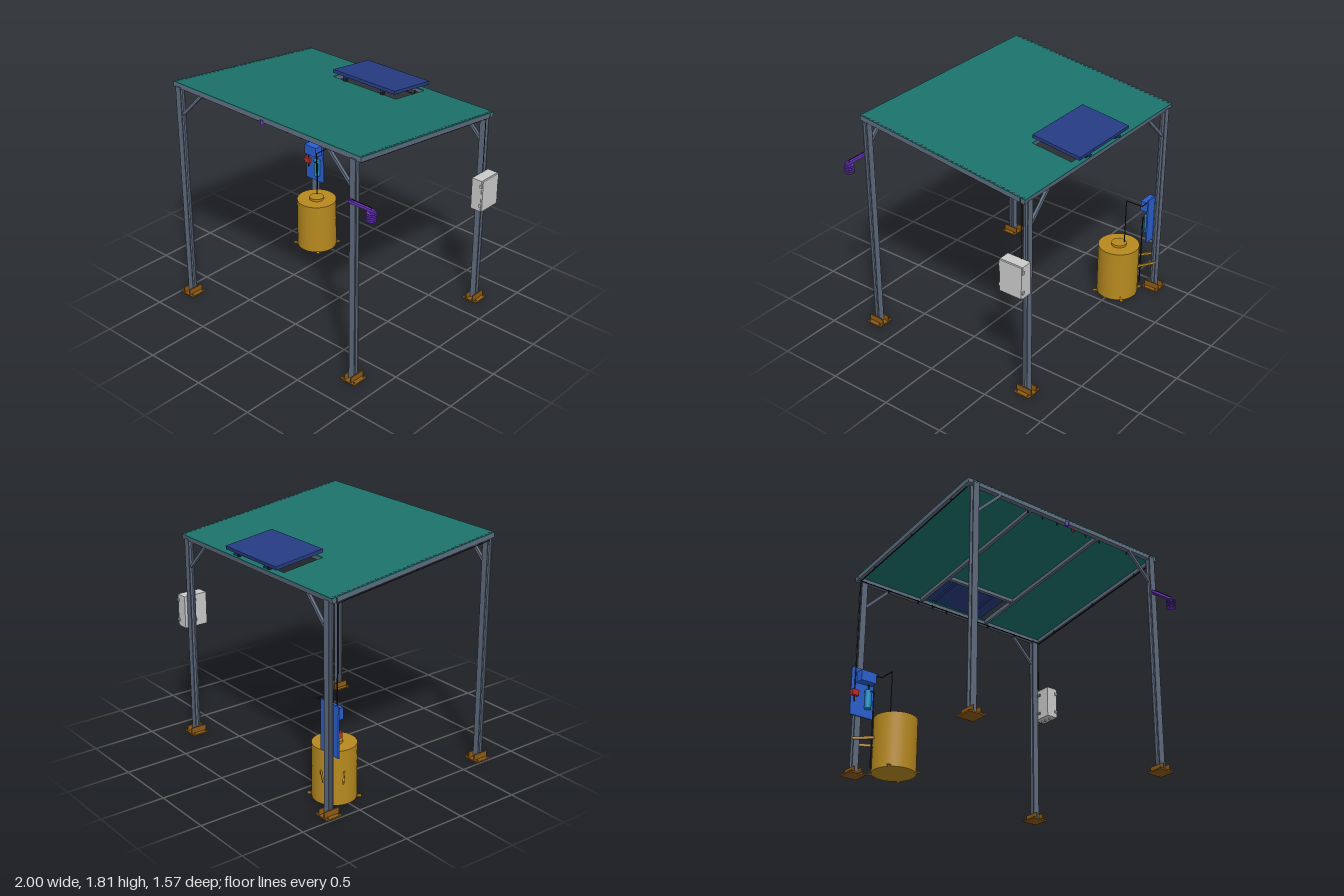
import * as THREE from 'three';

const mat = (color) => new THREE.MeshStandardMaterial({ color });
const M = {
  steel: mat(0x5f6b7e), roof: mat(0x1b726b), base: mat(0x8f5a14), tank: mat(0xb88a1f),
  solar: mat(0x263c82), blue: mat(0x2a5fd0), cyan: mat(0x1d8fc8), red: mat(0xc02a2a),
  purple: mat(0x6a35c0), grey: mat(0xcccccc), dark: mat(0x1c1f22),
};

function add(parent, name, geo, material, x = 0, y = 0, z = 0) {
  const m = new THREE.Mesh(geo, material);
  m.name = name;
  m.position.set(x, y, z);
  parent.add(m);
  return m;
}
const box = (p, name, m, w, h, d, x, y, z) => add(p, name, new THREE.BoxGeometry(w, h, d), m, x, y, z);
const cyl = (p, name, m, r, h, x, y, z, seg = 20) => add(p, name, new THREE.CylinderGeometry(r, r, h, seg), m, x, y, z);

// Straight flat bar between two points
function bar(p, name, m, a, b, w, d) {
  const A = new THREE.Vector3(...a), B = new THREE.Vector3(...b);
  const mesh = box(p, name, m, w, d, A.distanceTo(B), 0, 0, 0);
  mesh.position.copy(A).add(B).multiplyScalar(0.5);
  mesh.lookAt(B);
  return mesh;
}
// Pipe made of straight runs through the points
function pipe(p, name, m, r, pts) {
  const path = new THREE.CurvePath();
  const v = pts.map((q) => new THREE.Vector3(...q));
  for (let i = 1; i < v.length; i++) {
    const line = new THREE.LineCurve3(v[i - 1], v[i]);
    path.add(line);
    add(p, name, new THREE.TubeGeometry(line, 1, r, 8), m);
    add(p, name + 'Joint', new THREE.SphereGeometry(r, 8, 6), m, ...pts[i]);
  }
}
function group(parent, name) {
  const g = new THREE.Group();
  g.name = name;
  parent.add(g);
  return g;
}

const XL = -0.922, XR = 0.785, ZP = 0.717, SLOPE = 0.123;
const roofY = (z) => 1.717 + SLOPE * z;

function addPosts(root) {
  for (const x of [XL, XR]) for (const s of [1, -1]) {
    const z = s * ZP, h = s > 0 ? 1.78 : 1.6;
    const g = group(root, s > 0 ? 'frontPost' : 'backPost');
    // H-section column
    for (const f of [-1, 1]) box(g, 'flange', M.steel, 0.05, h, 0.008, x, h / 2, z + f * 0.0185);
    box(g, 'web', M.steel, 0.01, h, 0.037, x, h / 2, z);
    // Base plate, side plates and anchor bolts
    box(g, 'basePlate', M.base, 0.135, 0.01, 0.135, x, 0.005, z);
    for (const f of [-1, 1]) {
      box(g, 'sidePlate', M.base, 0.008, 0.045, 0.13, x + f * 0.03, 0.032, z);
      for (const k of [-1, 1]) cyl(g, 'anchorBolt', M.steel, 0.006, 0.012, x + f * 0.052, 0.014, z + k * 0.05, 6);
    }
    // Knee brace
    const d = x < 0 ? 1 : -1, top = s > 0 ? 1.765 : 1.585;
    bar(g, 'kneeBrace', M.steel, [x + d * 0.025, top - 0.2, z], [x + d * 0.225, top, z], 0.022, 0.022);
  }
}

function addRoof(root) {
  const g = group(root, 'roof');
  g.position.y = roofY(0);
  g.rotation.x = -Math.atan(SLOPE);
  const x0 = -0.985, x1 = 0.845, z0 = -0.745, z1 = 0.727, xm = (x0 + x1) / 2;
  const rect = (T, a, b, c, d) => new T([[a, b], [c, b], [c, d], [a, d]].map((q) => new THREE.Vector2(...q)));
  // Roof sheet with an opening under the solar panel
  const sheet = rect(THREE.Shape, x0, z0, x1, z1);
  sheet.holes.push(rect(THREE.Path, -0.38, -0.69, 0.243, -0.35));
  const geo = new THREE.ExtrudeGeometry(sheet, { depth: 0.008, bevelEnabled: false });
  geo.rotateX(Math.PI / 2);
  add(g, 'roofSheet', geo, M.roof);
  // Perimeter beams
  for (const z of [z0 + 0.018, z1 - 0.018]) box(g, 'crossBeam', M.steel, x1 - x0, 0.032, 0.035, xm, -0.023, z);
  for (const x of [x0 + 0.015, x1 - 0.015]) box(g, 'sideBeam', M.steel, 0.03, 0.032, z1 - z0 - 0.07, x, -0.023, 0);
  // Rafters and trimmers
  for (const x of [-0.392, 0.255]) box(g, 'rafter', M.steel, 0.025, 0.03, z1 - z0 - 0.07, x, -0.023, 0);
  box(g, 'trimmer', M.steel, 0.622, 0.03, 0.025, -0.0685, -0.023, -0.337);
  // Screws along both sides
  for (const x of [x0 + 0.015, x1 - 0.015])
    for (let i = 0; i < 36; i++) box(g, 'edgeScrew', M.steel, 0.01, 0.004, 0.018, x, 0.001, z0 + 0.03 + i * 0.0403);
  // Solar panel on two rails
  const s = group(g, 'solarPanel');
  box(s, 'panel', M.solar, 0.61, 0.026, 0.41, -0.07, 0.047, -0.543);
  for (const x of [-0.25, 0.115]) {
    box(s, 'rail', M.solar, 0.022, 0.014, 0.432, x, 0.028, -0.543);
    for (const z of [-0.72, -0.345]) box(s, 'railFoot', M.dark, 0.03, 0.024, 0.02, x, 0.011, z);
  }
  // Cables with hangers below the sides and the back
  const cy = -0.056;
  for (const x of [x0 + 0.015, 0.815]) {
    pipe(g, 'sideCable', M.dark, 0.004, [[x, cy, 0.69], [x, cy, -0.69]]);
    for (const z of [0.5, 0, -0.49]) box(g, 'hanger', M.dark, 0.008, 0.026, 0.008, x, -0.045, z);
  }
  pipe(g, 'backCable', M.dark, 0.004, [[x0 + 0.015, cy, -0.69], [0.815, cy, -0.69]]);
  for (const z of [-0.71, 0.69])
    for (const x of [-0.7, -0.42, -0.28, -0.14, 0.14, 0.28, 0.56]) box(g, 'hanger', M.dark, 0.008, 0.028, 0.008, x, -0.046, z);
}

function addTank(root) {
  const g = group(root, 'tank');
  g.position.set(-0.712, 0, -0.502);
  cyl(g, 'tankBody', M.tank, 0.163, 0.425, 0, 0.2125, 0, 48);
  cyl(g, 'tankLid', M.tank, 0.06, 0.02, 0, 0.435, 0, 32);
  // Strap and arms to the post
  const strap = add(g, 'tankStrap', new THREE.CylinderGeometry(0.1645, 0.1645, 0.012, 48, 1, true), M.tank, 0, 0.255, 0);
  strap.material = M.tank;
  for (const e of [[-0.12, 0.115], [0.112, -0.12]])
    bar(g, 'strapArm', M.tank, [-0.2, 0.255, -0.19], [e[0], 0.255, e[1]], 0.012, 0.02);
  // Hold-down feet
  for (let i = 0; i < 4; i++) {
    const a = Math.PI / 4 + (i * Math.PI) / 2;
    const foot = group(g, 'tankFoot');
    foot.rotation.y = a;
    box(foot, 'footPlate', M.tank, 0.04, 0.008, 0.025, 0.175, 0.004, 0);
    box(foot, 'footTab', M.tank, 0.008, 0.028, 0.025, 0.163, 0.014, 0);
  }
}

function addPumpBoard(root) {
  const g = group(root, 'pumpBoard');
  box(g, 'backBoard', M.blue, 0.195, 0.385, 0.012, -0.902, 0.652, -0.69);
  box(g, 'pumpBox', M.blue, 0.13, 0.085, 0.07, -0.89, 0.765, -0.65);
  cyl(g, 'filter', M.cyan, 0.026, 0.13, -0.86, 0.592, -0.665);
  cyl(g, 'filterCap', M.cyan, 0.029, 0.016, -0.86, 0.665, -0.665);
  box(g, 'valve', M.red, 0.055, 0.045, 0.035, -0.972, 0.632, -0.675);
  // Pipes to the tank and from the roof
  pipe(g, 'downPipe', M.dark, 0.005, [[-0.97, 1.575, -0.68], [-0.97, 0.57, -0.68]]);
  pipe(g, 'fillPipe', M.dark, 0.004, [[-0.89, 0.8, -0.68], [-0.89, 0.82, -0.68], [-0.74, 0.82, -0.68], [-0.74, 0.82, -0.535], [-0.74, 0.44, -0.535]]);
  pipe(g, 'suctionPipe', M.dark, 0.005, [[-0.86, 0.66, -0.637], [-0.83, 0.66, -0.637], [-0.83, 0.06, -0.637], [-0.79, 0.06, -0.6]]);
  pipe(g, 'filterPipe', M.dark, 0.005, [[-0.86, 0.73, -0.665], [-0.86, 0.67, -0.665]]);
}

function addControlBox(root) {
  const g = group(root, 'controlBox');
  box(g, 'cabinet', M.grey, 0.088, 0.255, 0.194, 0.854, 1.008, -0.665);
  box(g, 'door', M.grey, 0.012, 0.25, 0.188, 0.904, 1.008, -0.665);
  for (const z of [-0.765, -0.565]) for (const y of [1.09, 0.93]) box(g, 'hinge', M.grey, 0.02, 0.022, 0.01, 0.895, y, z);
  for (const z of [-0.7, -0.66, -0.61]) cyl(g, 'cableGland', M.grey, 0.007, 0.018, 0.86, 0.873, z, 10);
  for (const y of [1.09, 0.93]) box(g, 'mount', M.steel, 0.012, 0.02, 0.06, 0.808, y, -0.69);
  pipe(g, 'boxCable', M.dark, 0.003, [[0.86, 0.88, -0.7], [0.86, 0.858, -0.7], [0.81, 0.858, -0.7]]);
  pipe(g, 'boxCable', M.dark, 0.003, [[0.815, 1.575, -0.69], [0.815, 1.13, -0.69]]);
}

function addSensors(root) {
  // Arm with a louvred shield on the front post
  const g = group(root, 'sensorArm');
  box(g, 'arm', M.purple, 0.23, 0.02, 0.02, 0.877, 1.465, 0.748);
  box(g, 'armClamp', M.purple, 0.04, 0.035, 0.012, 0.785, 1.465, 0.744);
  pipe(g, 'armCable', M.dark, 0.003, [[0.785, 1.485, 0.748], [0.96, 1.485, 0.748], [0.96, 1.46, 0.748]]);
  for (let i = 0; i < 5; i++) cyl(g, 'shieldDisc', M.purple, 0.036, 0.005, 0.962, 1.39 + i * 0.0145, 0.748, 24);
  cyl(g, 'shieldCore', M.purple, 0.016, 0.075, 0.962, 1.42, 0.748, 16);
  // Small devices under the front beam
  cyl(root, 'roofSensor', M.purple, 0.015, 0.035, -0.07, 1.765, 0.72, 16);
  box(root, 'alarmLamp', M.red, 0.018, 0.025, 0.018, 0.03, 1.768, 0.68);
}

export function createModel() {
  const root = new THREE.Group();
  root.name = 'shelter';
  addPosts(root);
  addRoof(root);
  addTank(root);
  addPumpBoard(root);
  addControlBox(root);
  addSensors(root);
  return root;
}
